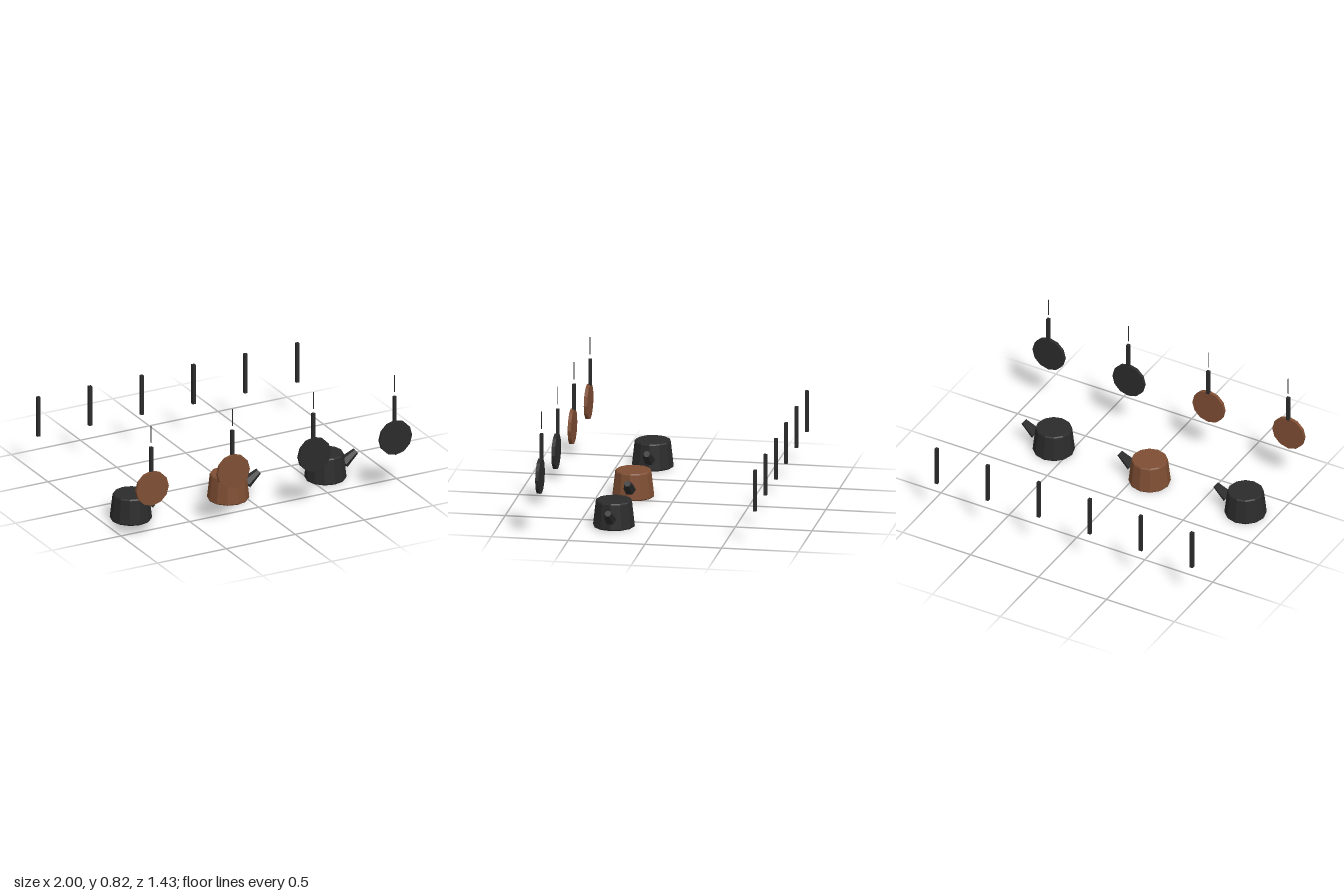
import * as THREE from 'three';

const iron = new THREE.MeshStandardMaterial({ color: 0x2b2b2b, flatShading: true });
iron.name = 'dark iron';
const copper = new THREE.MeshStandardMaterial({ color: 0x7f4e33, flatShading: true });
copper.name = 'copper';

function part(name, geometry, material, x = 0, y = 0, z = 0) {
  const mesh = new THREE.Mesh(geometry, material);
  mesh.name = name;
  mesh.position.set(x, y, z);
  return mesh;
}

// Tapered pot body with slightly bevelled rims, and a slanted handle
const potProfile = [[0, 0], [0.131, 0], [0.136, 0.008], [0.118, 0.167], [0.112, 0.175], [0, 0.175]]
  .map(([r, y]) => new THREE.Vector2(r, y));
const potGeometry = new THREE.LatheGeometry(potProfile, 12);
const potHandleGeometry = new THREE.CylinderGeometry(0.022, 0.04, 0.11, 6);

function makePot(material) {
  const pot = new THREE.Group();
  pot.name = 'pot';
  const handle = part('potHandle', potHandleGeometry, iron, 0.175, 0.11);
  handle.rotation.z = -THREE.MathUtils.degToRad(55);
  pot.add(part('potBody', potGeometry, material), handle);
  return pot;
}

// Round pan hanging by an upright handle below a thin wire
const panGeometry = new THREE.CylinderGeometry(0.117, 0.117, 0.022, 12).rotateX(Math.PI / 2);
const panHandleGeometry = new THREE.BoxGeometry(0.021, 0.175, 0.021);
const wireGeometry = new THREE.CylinderGeometry(0.003, 0.003, 0.117, 6);

function makePan(material) {
  const pan = new THREE.Group();
  pan.name = 'hangingPan';
  pan.add(
    part('panDisc', panGeometry, material, 0, 0.387, 0.704),
    part('panHandle', panHandleGeometry, iron, 0, 0.583, 0.694),
    part('hangingWire', wireGeometry, iron, 0, 0.759, 0.694),
  );
  return pan;
}

export function createModel() {
  const model = new THREE.Group();
  model.name = 'hangingCookware';

  [copper, copper, iron, iron].forEach((material, i) => {
    const pan = makePan(material);
    pan.position.x = -0.883 + i * 0.5887;
    model.add(pan);
  });

  [iron, copper, iron].forEach((material, i) => {
    const pot = makePot(material);
    pot.position.set(-0.807 + i * 0.706, 0, 0.272);
    model.add(pot);
  });

  // Row of upright bars at the back
  const barGeometry = new THREE.BoxGeometry(0.022, 0.273, 0.022);
  for (let i = 0; i < 6; i++) {
    model.add(part('backBar', barGeometry, iron, -0.963 + i * 0.376, 0.371, -0.704));
  }
  return model;
}
